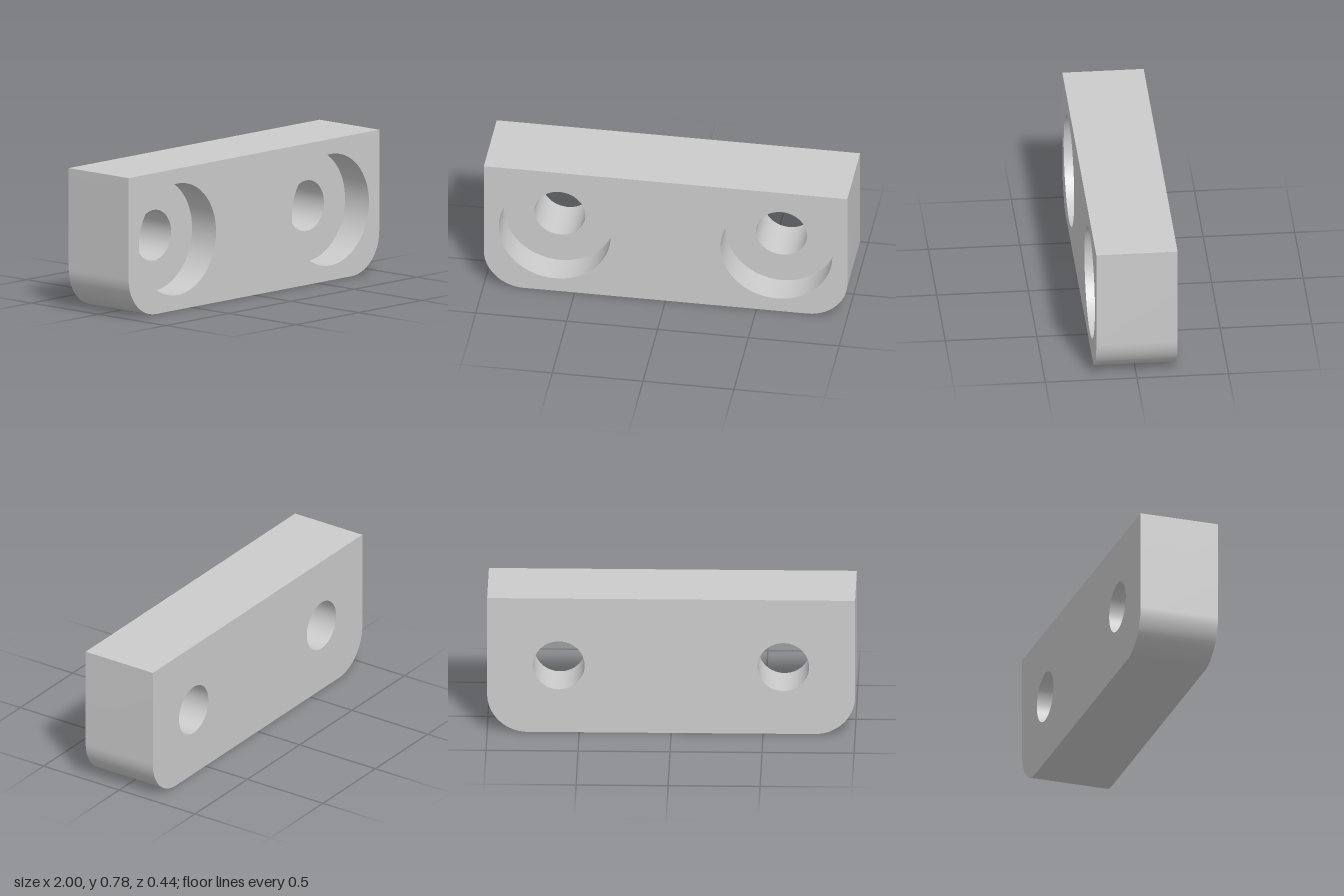
import * as THREE from 'three';
import { toCreasedNormals } from 'three/addons/utils/BufferGeometryUtils.js';

const HEIGHT = 0.78, FRONT = 0.222, BACK = -0.222, FLOOR = 0.044;
const CORNER = 0.22, HOLE_X = 0.61, HOLE_Y = 0.39;
const BORE_R = 0.308, HOLE_R = 0.14;

// Plate outline: square at the top, rounded at the bottom corners
function outline(holeRadius) {
  const s = new THREE.Shape();
  s.moveTo(1, HEIGHT);
  s.lineTo(-1, HEIGHT);
  s.lineTo(-1, CORNER);
  s.absarc(-1 + CORNER, CORNER, CORNER, Math.PI, Math.PI * 1.5, false);
  s.lineTo(1 - CORNER, 0);
  s.absarc(1 - CORNER, CORNER, CORNER, Math.PI * 1.5, Math.PI * 2, false);
  s.closePath();
  if (holeRadius) {
    for (const side of [-1, 1]) {
      s.holes.push(new THREE.Path().absarc(side * HOLE_X, HOLE_Y, holeRadius, 0, Math.PI * 2, true));
    }
  }
  return s;
}

// Side walls of the extruded outline, without its caps
function rimGeometry() {
  const full = new THREE.ExtrudeGeometry(outline(), { depth: FRONT - BACK, bevelEnabled: false, curveSegments: 16 });
  const { start, count } = full.groups[1];
  const rim = new THREE.BufferGeometry();
  const positions = full.attributes.position.array.slice(start * 3, (start + count) * 3);
  rim.setAttribute('position', new THREE.BufferAttribute(positions, 3));
  rim.computeVertexNormals();
  return toCreasedNormals(rim, Math.PI / 6).translate(0, 0, BACK);
}

export function createModel() {
  const group = new THREE.Group();
  group.name = 'mountingBlock';
  const material = new THREE.MeshStandardMaterial({ color: 0xcccccc });

  const add = (name, geometry, parent = group) => {
    const mesh = new THREE.Mesh(geometry, material);
    mesh.name = name;
    parent.add(mesh);
    return mesh;
  };

  // Block shell
  add('blockRim', rimGeometry());
  add('frontFace', new THREE.ShapeGeometry(outline(BORE_R), 32)).position.z = FRONT;
  const back = add('backFace', new THREE.ShapeGeometry(outline(HOLE_R), 32).rotateY(Math.PI));
  back.position.z = BACK;

  // Counterbored screw holes: wide recess, flat seat, narrow through-hole
  const segment = (r0, z0, r1, z1) => new THREE.LatheGeometry(
    [new THREE.Vector2(r0, z0), new THREE.Vector2(r1, z1)], 64).rotateX(Math.PI / 2);
  for (const side of [-1, 1]) {
    const hole = new THREE.Group();
    hole.name = side > 0 ? 'leftScrewHole' : 'rightScrewHole';
    hole.position.set(side * HOLE_X, HOLE_Y, 0);
    add('recessWall', segment(BORE_R, FRONT, BORE_R, FLOOR), hole);
    add('recessSeat', segment(BORE_R, FLOOR, HOLE_R, FLOOR), hole);
    add('throughHole', segment(HOLE_R, FLOOR, HOLE_R, BACK), hole);
    group.add(hole);
  }
  return group;
}
